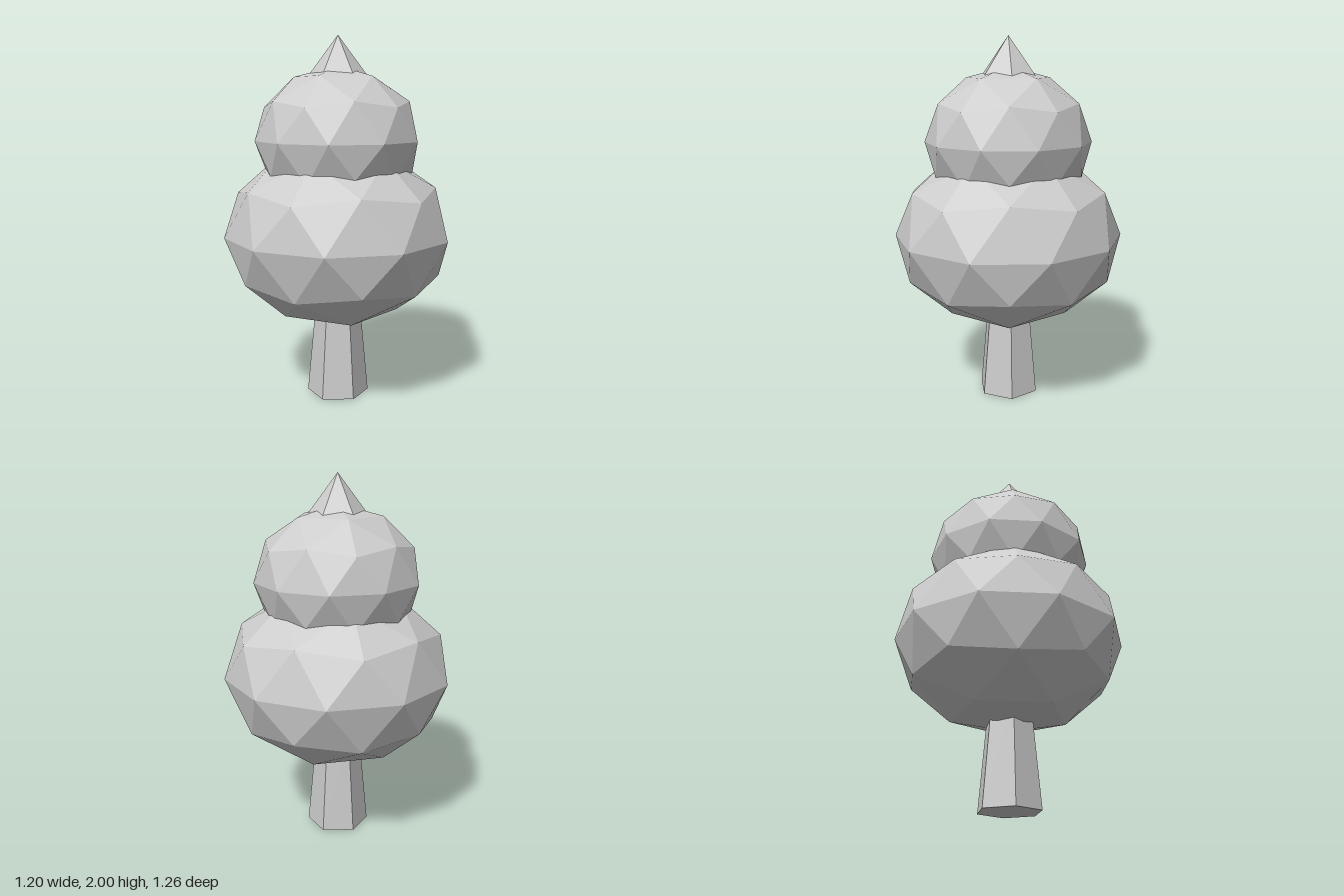
import * as THREE from 'three';

export function createModel() {
  const tree = new THREE.Group();
  tree.name = 'tree';
  const grey = new THREE.MeshStandardMaterial({ color: 0xcccccc, flatShading: true });
  grey.name = 'light grey';

  const add = (name, geometry, y) => {
    const mesh = new THREE.Mesh(geometry, grey);
    mesh.name = name;
    mesh.position.y = y;
    tree.add(mesh);
  };

  // Flattened faceted ball with one icosahedron corner turned to the pole
  const foliage = (name, radius, halfHeight, y) => {
    const ball = new THREE.IcosahedronGeometry(1, 1);
    ball.rotateZ(-Math.atan(2 / (1 + Math.sqrt(5))));
    ball.scale(radius, halfHeight, radius);
    add(name, ball, y);
  };

  // Tapered six-sided trunk, ending inside the foliage
  add('trunk', new THREE.CylinderGeometry(0.121, 0.173, 0.56, 6), 0.28);

  foliage('lowerFoliage', 0.63, 0.505, 0.92);
  foliage('upperFoliage', 0.455, 0.4, 1.44);

  // Six-sided tip rising out of the upper foliage
  add('tip', new THREE.ConeGeometry(0.3, 0.4, 6), 1.8);

  return tree;
}
